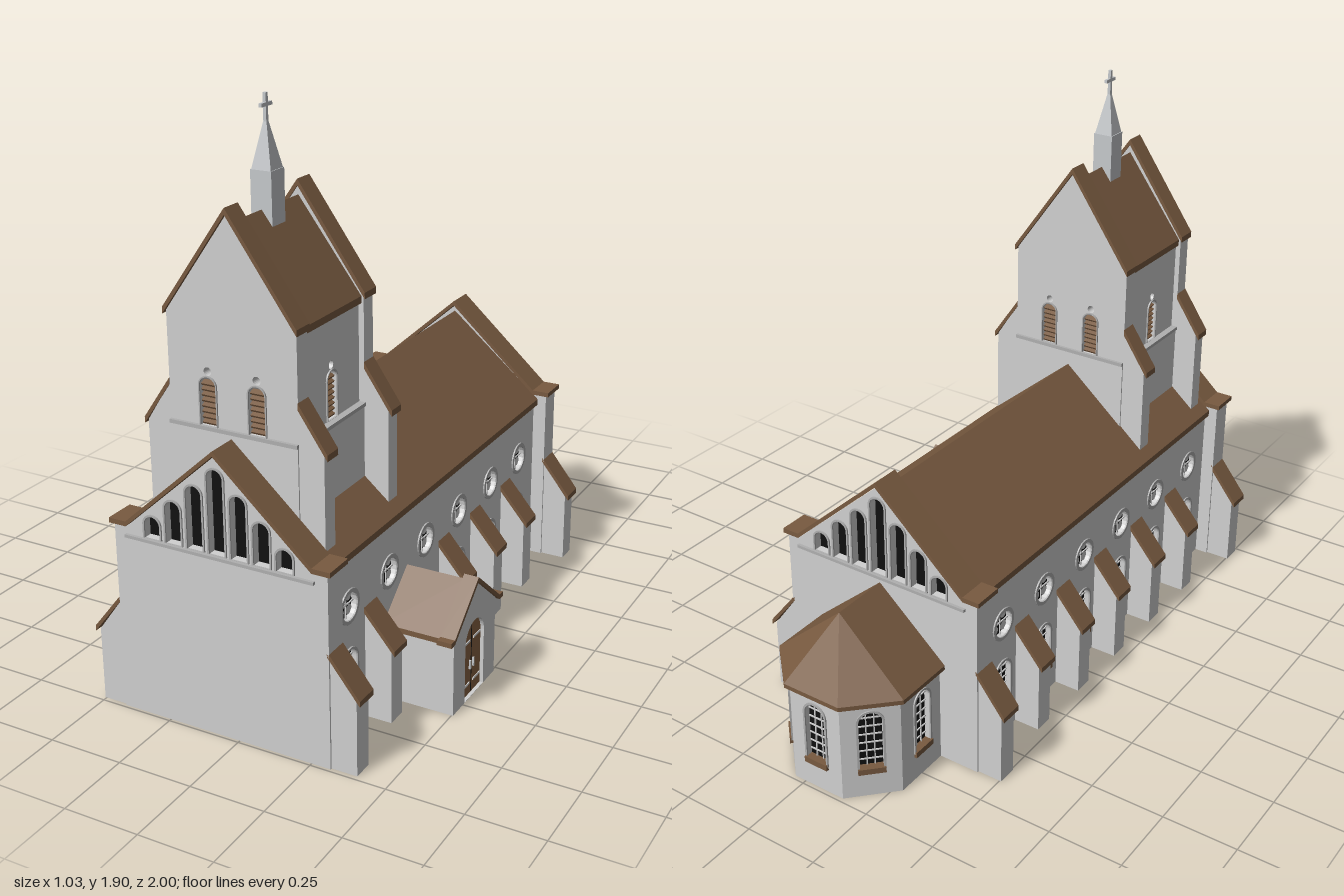
import * as THREE from 'three';

const material = (name, color, double) => {
  const m = new THREE.MeshStandardMaterial({ color });
  m.name = name;
  if (double) m.side = THREE.DoubleSide;
  return m;
};

export function createModel() {
  const stone = material('stone', 0xd0d0d0, true);
  const trim = material('trim', 0xb0b0b0);
  const roof = material('roofTile', 0x785a40, true);
  const wood = material('doorWood', 0x8a6444);
  const glass = material('darkGlass', 0x101010, true);
  const metal = material('spireMetal', 0xc6c9cc);

  const model = new THREE.Group();
  model.name = 'church';
  const body = new THREE.Group();
  body.name = 'building';
  body.position.x = -0.053;
  model.add(body);

  // --- helpers ---
  const put = (parent, name, geo, mat, x = 0, y = 0, z = 0) => {
    const m = new THREE.Mesh(geo, mat);
    m.name = name;
    m.position.set(x, y, z);
    parent.add(m);
    return m;
  };
  const box = (parent, name, mat, w, h, d, x, y, z) =>
    put(parent, name, new THREE.BoxGeometry(w, h, d), mat, x, y, z);
  const shapeOf = pts => new THREE.Shape(pts.map(p => new THREE.Vector2(p[0], p[1])));
  const extrude = (shape, depth) =>
    new THREE.ExtrudeGeometry(shape, { depth, bevelEnabled: false, curveSegments: 10 });
  const prism = (parent, name, mat, pts, z0, z1) =>
    put(parent, name, extrude(shapeOf(pts), z1 - z0), mat, 0, 0, z0);
  // closed band of thickness t below an open line
  const band = (pts, t) => [...pts, ...pts.map(p => [p[0], p[1] - t]).reverse()];
  // symmetric line from its right half, listed from the outside to the peak
  const mirrored = pts => [...pts, ...pts.filter(p => p[0] > 0).reverse().map(p => [-p[0], p[1]])];
  const arch = (x, y, w, h, Kind = THREE.Path) => {
    const r = w / 2, p = new Kind();
    p.moveTo(x - r, y);
    p.lineTo(x + r, y);
    p.lineTo(x + r, y + h - r);
    p.absarc(x, y + h - r, r, 0, Math.PI, false);
    p.lineTo(x - r, y);
    return p;
  };
  const ring = (x, y, r) => new THREE.Path().absarc(x, y, r, 0, Math.PI * 2, false);

  // wall whose outer face is local z = 0, with openings cut through
  const panel = (name, pts, openings, t, x, z, turn, parent = body) => {
    const g = new THREE.Group();
    g.name = name;
    g.position.set(x, 0, z);
    g.rotation.y = turn;
    parent.add(g);
    const s = shapeOf(pts);
    openings.forEach(o => s.holes.push(...o.holes));
    put(g, name + 'Wall', extrude(s, t), stone, 0, 0, -t);
    openings.forEach(o => o.fill(g));
    return g;
  };
  const archFrame = (g, x, y, w, h, b) => {
    const f = arch(x, y, w + 2 * b, h + b, THREE.Shape);
    f.holes.push(arch(x, y + 0.0005, w, h - 0.0005));
    put(g, 'windowFrame', extrude(f, 0.005), trim);
  };

  // --- kinds of opening ---
  const archWindow = (x, y, w, h) => ({
    holes: [arch(x, y, w, h)],
    fill(g) {
      put(g, 'windowGlass', new THREE.ShapeGeometry(arch(x, y, w, h, THREE.Shape)), glass, 0, 0, -0.018);
      archFrame(g, x, y, w, h, 0.007);
      for (const k of [-1, 1]) box(g, 'mullion', stone, 0.004, h - w * 0.25, 0.004, x + k * w / 6, y + (h - w * 0.25) / 2, -0.015);
      for (let i = 1; i < 7; i++) box(g, 'glazingBar', stone, w * 0.97, 0.004, 0.004, x, y + (i * (h - w * 0.4)) / 6, -0.015);
      box(g, 'windowSill', roof, w + 0.012, 0.02, 0.03, x, y - 0.002, -0.005);
    },
  });
  const roundWindow = (x, y) => ({
    holes: [ring(x, y, 0.046)],
    fill(g) {
      put(g, 'roundGlass', new THREE.CircleGeometry(0.047, 24), glass, x, y, -0.018);
      const f = new THREE.Shape().absarc(x, y, 0.057, 0, Math.PI * 2, false);
      f.holes.push(ring(x, y, 0.045));
      put(g, 'roundFrame', extrude(f, 0.005), trim);
      for (let i = 0; i < 4; i++) {
        const a = Math.PI / 4 + (i * Math.PI) / 2;
        put(g, 'roundTracery', new THREE.CircleGeometry(0.016, 12), stone, x + 0.032 * Math.cos(a), y + 0.032 * Math.sin(a), -0.014);
      }
      box(g, 'roundBar', stone, 0.09, 0.004, 0.004, x, y, -0.012);
      box(g, 'roundBar', stone, 0.004, 0.09, 0.004, x, y, -0.012);
    },
  });
  const lancet = (x, y, w, h) => ({
    holes: [arch(x, y, w, h)],
    fill(g) {
      put(g, 'lancetGlass', new THREE.ShapeGeometry(arch(x, y, w, h, THREE.Shape)), glass, 0, 0, -0.025);
      archFrame(g, x, y, w, h, 0.006);
    },
  });
  const louvre = x => ({
    holes: [arch(x, 0.955, 0.055, 0.15), ring(x, 1.122, 0.013)],
    fill(g) {
      archFrame(g, x, 0.955, 0.055, 0.15, 0.004);
      for (let i = 0; i < 8; i++)
        box(g, 'louvreSlat', roof, 0.054, 0.007, 0.018, x, 0.963 + i * 0.017, -0.014).rotation.x = 0.5;
    },
  });
  const doorway = (w, h) => ({
    holes: [arch(0, 0.001, w, h)],
    fill(g) {
      put(g, 'door', extrude(arch(0, 0.001, w, h, THREE.Shape), 0.01), wood, 0, 0, -0.022);
      box(g, 'doorGap', glass, 0.003, h - 0.01, 0.003, 0, h / 2, -0.012);
      for (const s of [-1, 1]) {
        for (const y of [0.04, 0.19]) box(g, 'hinge', stone, 0.05, 0.007, 0.004, s * 0.037, y, -0.011);
        box(g, 'doorHandle', metal, 0.006, 0.03, 0.008, s * 0.012, 0.105, -0.01);
      }
    },
  });

  // --- nave ---
  const bays = [0.79, 0.54, 0.295, 0.05, -0.2, -0.44];
  for (const s of [1, -1]) {
    const openings = bays.map(z => roundWindow(-s * z, 0.425));
    bays.forEach((z, i) => {
      if (s < 0 || (i !== 1 && i !== 2)) openings.push(archWindow(-s * z, 0.1, 0.085, 0.18));
    });
    const a = -s * 0.92, b = s * 0.58;
    panel(s > 0 ? 'leftNaveSide' : 'rightNaveSide', [[a, 0], [b, 0], [b, 0.6], [a, 0.6]],
      openings, 0.03, s * 0.32, 0, (s * Math.PI) / 2);
  }
  prism(body, 'naveRoof', roof, band(mirrored([[0.335, 0.61], [0, 0.895]]), 0.022), -0.57, 0.91);

  // --- gabled end walls with stepped lancets ---
  for (const [name, z, turn] of [['frontGable', 0.99, 0], ['backGable', -0.65, Math.PI]]) {
    const lancets = [-3, -2, -1, 0, 1, 2, 3].map(i => lancet(i * 0.076, 0.605, 0.054, 0.27 - Math.abs(i) * 0.066));
    const g = panel(name, [[-0.367, 0], [0.367, 0], ...mirrored([[0.367, 0.632], [0.315, 0.632], [0, 0.915]])],
      lancets, 0.08, 0, z, turn);
    box(g, 'gableSill', trim, 0.65, 0.01, 0.02, 0, 0.597, 0);
    prism(g, 'gableCoping', roof, band(mirrored([[0.38, 0.645], [0.32, 0.645], [0, 0.934]]), 0.016), -0.092, 0.01);
  }

  // --- buttresses with sloping tiled caps ---
  const buttress = (s, z, inner, outer) => {
    prism(body, 'buttress', stone, [[s * inner, 0], [s * outer, 0], [s * outer, 0.245], [s * inner, 0.372]], z - 0.034, z + 0.034);
    prism(body, 'buttressCap', roof, band([[s * inner, 0.388], [s * (outer + 0.014), 0.254]], 0.018), z - 0.04, z + 0.04);
  };
  for (const s of [1, -1]) {
    for (const z of [0.66, 0.41, 0.16, -0.08, -0.33]) if (s < 0 || z !== 0.41) buttress(s, z, 0.31, 0.41);
    for (const z of [0.95, -0.61]) buttress(s, z, 0.36, 0.4525);
  }

  // --- tower ---
  prism(body, 'towerBase', stone, [[-0.2175, 0.945], [-0.2175, 0.69], [0, 0.88], [0.2175, 0.69], [0.2175, 0.945]], 0.445, 0.89);
  for (const [name, z, turn] of [['towerFront', 0.885, 0], ['towerBack', 0.45, Math.PI]]) {
    const g = panel(name, [[0, 0.88], ...mirrored([[0.3, 0.625], [0.3, 0.935], [0.2175, 1.065], [0.2175, 1.288], [0, 1.598]])],
      [louvre(-0.083), louvre(0.083)], 0.055, 0, z, turn);
    box(g, 'stringCourse', trim, 0.435, 0.012, 0.02, 0, 0.949, 0);
    prism(g, 'towerCoping', roof, band(mirrored([[0.224, 1.298], [0, 1.615]]), 0.02), -0.06, 0.01);
    for (const s of [1, -1])
      prism(g, 'towerButtressCap', roof, band([[s * 0.2175, 1.08], [s * 0.312, 0.942]], 0.02), -0.057, 0.003);
  }
  for (const s of [1, -1]) {
    const a = -s * 0.84, b = -s * 0.5;
    const g = panel('towerSide', [[a, 0.94], [b, 0.94], [b, 1.285], [a, 1.285]],
      [louvre(-s * 0.67)], 0.03, s * 0.2, 0, (s * Math.PI) / 2);
    box(g, 'sideCourse', trim, 0.33, 0.012, 0.03, -s * 0.6675, 0.946, 0.008);
  }
  prism(body, 'towerRoof', roof, band(mirrored([[0.21, 1.285], [0, 1.567]]), 0.022), 0.5, 0.835);

  // --- ridge spire and cross ---
  box(body, 'spireBase', metal, 0.07, 0.18, 0.07, 0, 1.59, 0.67);
  const spire = new THREE.CylinderGeometry(0.006, 0.046, 0.14, 4).toNonIndexed();
  spire.rotateY(Math.PI / 4);
  spire.computeVertexNormals();
  put(body, 'spire', spire, metal, 0, 1.75, 0.67);
  box(body, 'crossPost', metal, 0.01, 0.085, 0.011, 0, 1.853, 0.67);
  box(body, 'crossArm', metal, 0.01, 0.011, 0.056, 0, 1.862, 0.67);

  // --- side porch, turned to face +x ---
  const porch = new THREE.Group();
  porch.name = 'porch';
  porch.position.set(0.558, 0, 0.42);
  porch.rotation.y = Math.PI / 2;
  body.add(porch);
  panel('porchFront', [[-0.15, 0], [0.15, 0], ...mirrored([[0.15, 0.27], [0, 0.395]])],
    [doorway(0.135, 0.26)], 0.035, 0, 0, 0, porch);
  for (const s of [1, -1]) box(porch, 'porchSide', stone, 0.025, 0.265, 0.24, s * 0.1375, 0.1325, -0.13);
  prism(porch, 'porchRoof', roof, band(mirrored([[0.158, 0.262], [0, 0.394]]), 0.018), -0.24, -0.035);
  prism(porch, 'porchCoping', roof, band(mirrored([[0.187, 0.272], [0.163, 0.272], [0, 0.41]]), 0.016), -0.04, 0.01);

  // --- apse walls ---
  const plan = [[0.225, -0.64], [0.225, -0.85], [0.095, -0.985], [-0.095, -0.985], [-0.225, -0.85], [-0.225, -0.64]];
  for (let i = 0; i < 5; i++) {
    const [x0, z0] = plan[i], [x1, z1] = plan[i + 1];
    const h = Math.hypot(x1 - x0, z1 - z0) / 2;
    panel('apseSide', [[-h, 0], [h, 0], [h, 0.355], [-h, 0.355]], [archWindow(0, 0.1, 0.075, 0.215)],
      0.02, (x0 + x1) / 2, (z0 + z1) / 2, Math.atan2(z0 - z1, x1 - x0));
  }

  // --- apse roof: eaves loop, ridge and hipped end ---
  const eaves = [[0.245, -0.65], [0.245, -0.86], [0.105, -1], [-0.105, -1], [-0.245, -0.86], [-0.245, -0.65]];
  const at = (i, y) => [eaves[i][0], y, eaves[i][1]];
  const ridge = [0, 0.575, -0.65], apex = [0, 0.575, -0.85];
  const verts = [at(0, 0.36), apex, ridge, at(5, 0.36), ridge, apex];
  for (let i = 0; i < 5; i++) {
    const a = at(i, 0.36), b = at(i + 1, 0.36), c = at(i, 0.345), d = at(i + 1, 0.345);
    verts.push(a, b, apex, c, d, a, d, b, a);
  }
  const apseGeo = new THREE.BufferGeometry();
  apseGeo.setAttribute('position', new THREE.Float32BufferAttribute(verts.flat(), 3));
  apseGeo.computeVertexNormals();
  put(body, 'apseRoof', apseGeo, roof);

  return model;
}
